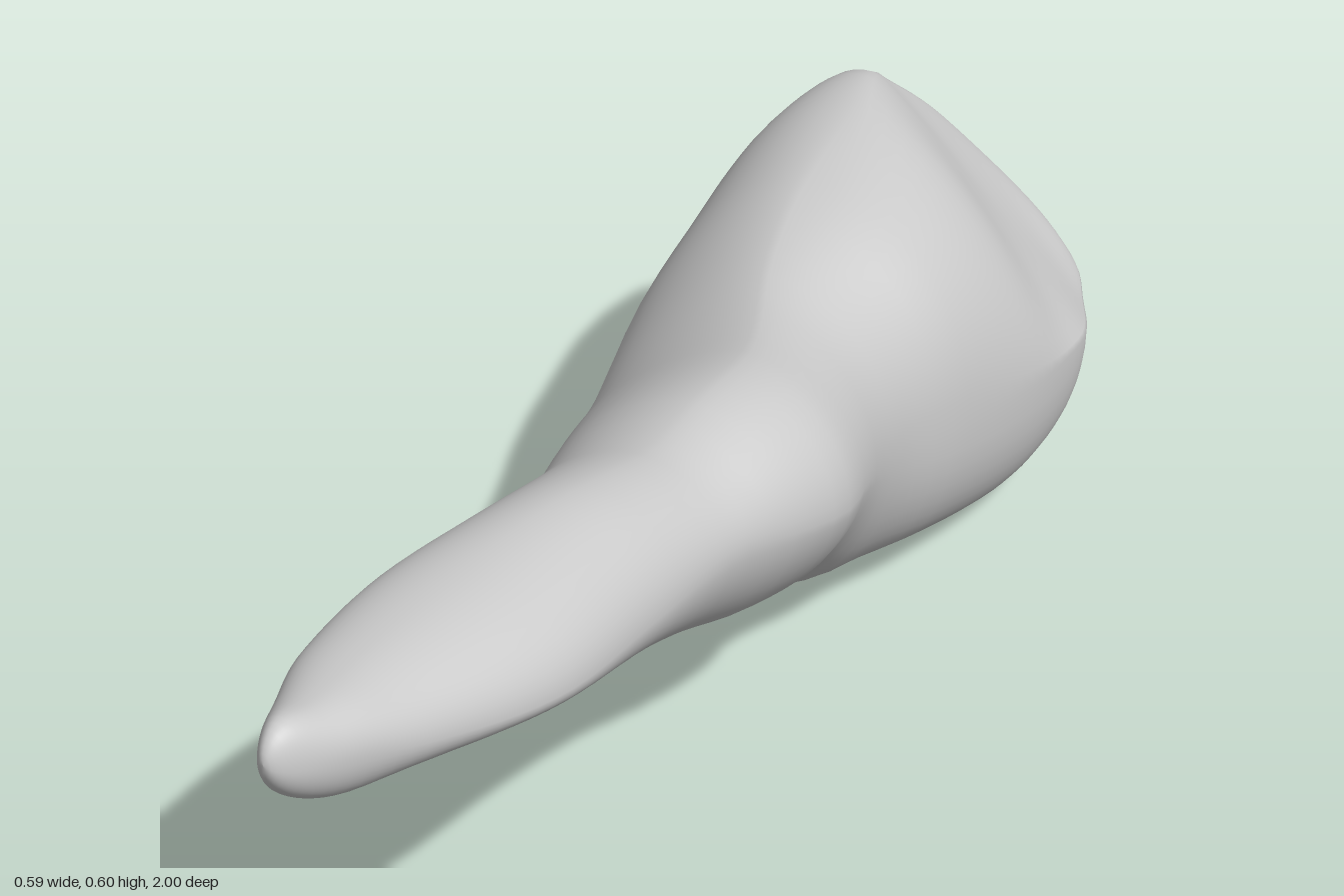
import * as THREE from 'three';

// Outline along the length: z, left x, right x, bottom y, top y
const outline = [
  [-1, -0.09, -0.09, 0.25, 0.25],
  [-0.97, -0.155, 0.04, 0.165, 0.34],
  [-0.9, -0.215, 0.1, 0.105, 0.425],
  [-0.8, -0.262, 0.16, 0.035, 0.505],
  [-0.73, -0.283, 0.18, 0.008, 0.55],
  [-0.6, -0.295, 0.197, 0.002, 0.56],
  [-0.4, -0.27, 0.197, 0.042, 0.545],
  [-0.3, -0.255, 0.187, 0.058, 0.525],
  [-0.2, -0.22, 0.205, 0.082, 0.507],
  [-0.1, -0.18, 0.242, 0.138, 0.512],
  [0, -0.15, 0.278, 0.175, 0.53],
  [0.1, -0.1, 0.277, 0.215, 0.536],
  [0.2, -0.05, 0.262, 0.26, 0.521],
  [0.28, -0.02, 0.264, 0.295, 0.535],
  [0.4, 0.01, 0.275, 0.345, 0.555],
  [0.6, 0.035, 0.292, 0.41, 0.565],
  [0.8, 0.08, 0.265, 0.445, 0.575],
  [0.9, 0.13, 0.245, 0.465, 0.585],
  [0.97, 0.17, 0.225, 0.505, 0.595],
  [1, 0.2, 0.2, 0.56, 0.56],
];

// Section character: z, x of top, x of bottom, y of left edge, y of right edge,
// then the quarters upper right, upper left, lower left, lower right
// (below 1 = boxy, 1 = round, 2 = flat bevel)
const character = [
  [-1, -0.09, -0.09, 0.25, 0.25, 1.3, 1, 1, 1],
  [-0.9, -0.15, -0.04, 0.3, 0.2, 1.8, 1, 1.5, 0.92],
  [-0.76, -0.16, -0.02, 0.34, 0.22, 1.8, 1, 1.25, 0.82],
  [-0.6, -0.1, -0.02, 0.34, 0.24, 1.2, 1, 1.08, 0.82],
  [-0.4, -0.05, 0, 0.32, 0.27, 0.88, 1.2, 1, 0.85],
  [-0.25, 0, 0.01, 0.3, 0.3, 0.95, 1.35, 0.95, 1],
  [-0.1, 0.08, 0.04, 0.3, 0.355, 1, 1.4, 0.98, 1.25],
  [0, 0.12, 0.07, 0.3, 0.38, 1, 1.35, 1, 1.3],
  [0.2, 0.14, 0.12, 0.37, 0.42, 1, 1.2, 1, 1.15],
  [0.6, 0.15, 0.17, 0.49, 0.46, 1, 0.95, 1, 1],
  [0.8, 0.17, 0.18, 0.515, 0.5, 1, 0.88, 0.95, 1],
  [0.9, 0.19, 0.19, 0.535, 0.53, 0.95, 0.9, 0.95, 0.95],
  [1, 0.2, 0.2, 0.56, 0.56, 1, 1, 1, 1],
];

// Angle-like parameter, so both ends close with a round cap
const toParam = (z) => Math.acos(THREE.MathUtils.clamp(-z, -1, 1));

// Smooth (cubic Hermite) interpolation of one table column
function sample(table, column, u) {
  const x = (i) => toParam(table[i][0]);
  const y = (i) => table[i][column];
  const last = table.length - 1;
  let i = 0;
  while (i < last - 1 && u > x(i + 1)) i++;
  const slope = (k) => {
    const a = Math.max(k - 1, 0), b = Math.min(k + 1, last);
    return (y(b) - y(a)) / (x(b) - x(a));
  };
  const h = x(i + 1) - x(i);
  const t = (u - x(i)) / h, t2 = t * t, t3 = t2 * t;
  return y(i) * (2 * t3 - 3 * t2 + 1) + slope(i) * h * (t3 - 2 * t2 + t)
    + y(i + 1) * (3 * t2 - 2 * t3) + slope(i + 1) * h * (t3 - t2);
}

// A section is four quarter arcs joining its right, top, left and bottom points
function sectionPoint(angle, u) {
  const [xl, xr, yb, yt] = [1, 2, 3, 4].map((c) => sample(outline, c, u));
  const [xTop, xBottom, yLeft, yRight, ...quarters] =
    [1, 2, 3, 4, 5, 6, 7, 8].map((c) => sample(character, c, u));
  const c = Math.cos(angle), s = Math.sin(angle);
  const upper = s >= 0, right = c >= 0;
  const p = quarters[upper ? (right ? 0 : 1) : (right ? 3 : 2)];
  const cx = THREE.MathUtils.clamp(upper ? xTop : xBottom, xl, xr);
  const cy = THREE.MathUtils.clamp(right ? yRight : yLeft, yb, yt);
  const edgeX = right ? xr : xl, edgeY = upper ? yt : yb;
  return [
    cx + (edgeX - cx) * Math.pow(Math.abs(c), p),
    cy + (edgeY - cy) * Math.pow(Math.abs(s), p),
  ];
}

function loftGeometry(rings, sides) {
  const positions = [], index = [];
  for (let i = 0; i <= rings; i++) {
    const u = (Math.PI * i) / rings;
    for (let j = 0; j < sides; j++) {
      positions.push(...sectionPoint((2 * Math.PI * j) / sides, u), -Math.cos(u));
    }
  }
  for (let i = 0; i < rings; i++) {
    for (let j = 0; j < sides; j++) {
      const k = (j + 1) % sides;
      const a = i * sides + j, b = i * sides + k;
      const c = b + sides, d = a + sides;
      if (i > 0) index.push(a, b, c);
      if (i < rings - 1) index.push(a, c, d);
      else index.push(a, b, d);
    }
  }
  const geometry = new THREE.BufferGeometry();
  geometry.setAttribute('position', new THREE.Float32BufferAttribute(positions, 3));
  geometry.setIndex(index);
  geometry.computeVertexNormals();
  return geometry;
}

export function createModel() {
  const group = new THREE.Group();
  group.name = 'taperedRoot';
  // Bulbous rear flowing into a narrow, raised tip
  const body = new THREE.Mesh(
    loftGeometry(80, 56),
    new THREE.MeshStandardMaterial({ color: 0xcccccc })
  );
  body.name = 'body';
  group.add(body);
  return group;
}
